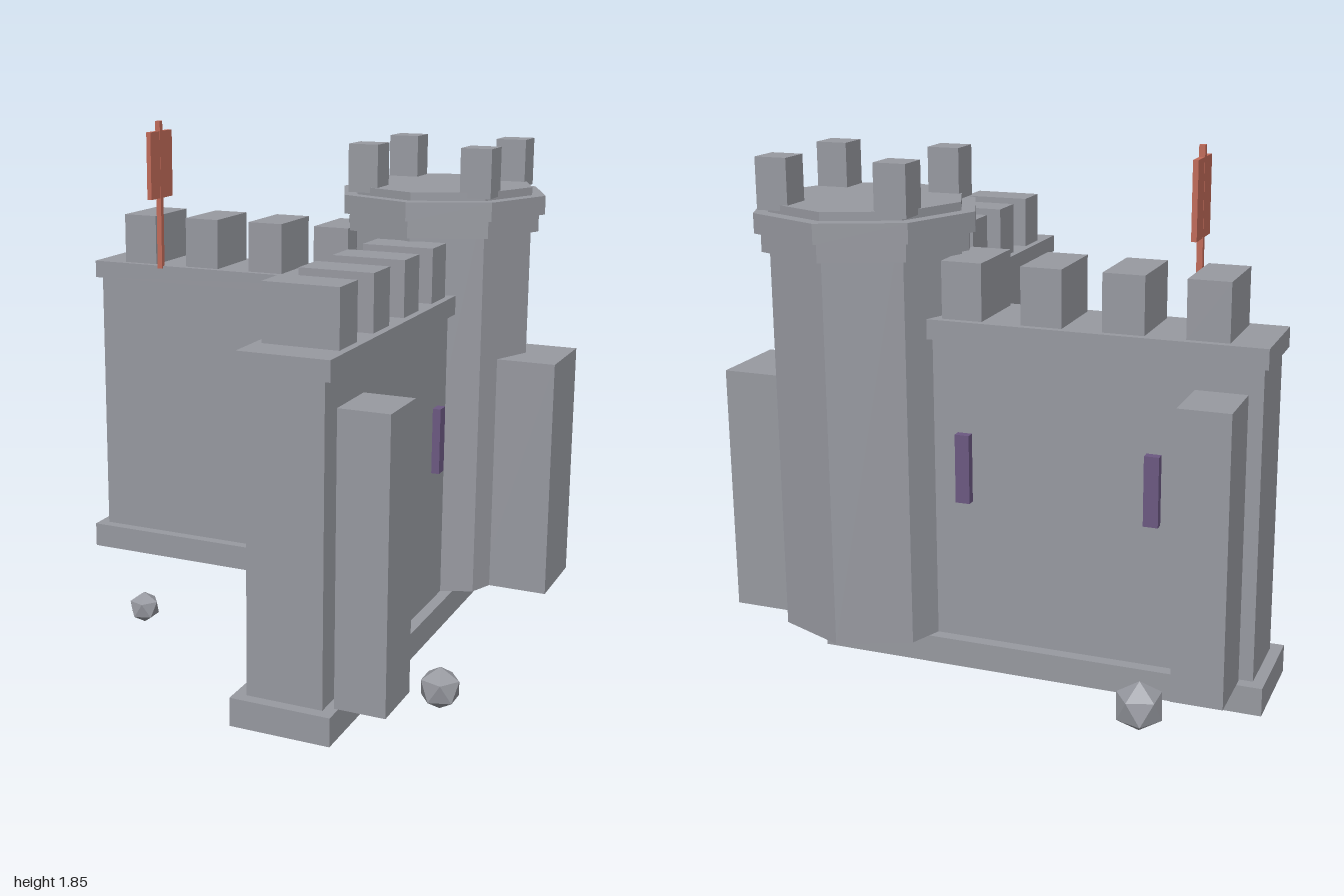
import * as THREE from 'three';

export function createModel() {
  const model = new THREE.Group();
  model.name = 'castleCorner';

  const makeMaterial = (name, color) => {
    const m = new THREE.MeshStandardMaterial({ color, flatShading: true });
    m.name = name;
    return m;
  };
  const stone = makeMaterial('stone grey', 0x9799a0);
  const purple = makeMaterial('window purple', 0x6b5881);
  const red = makeMaterial('flag red', 0xc06a58);

  const add = (name, geometry, material, parent = model) => {
    const mesh = new THREE.Mesh(geometry, material);
    mesh.name = name;
    parent.add(mesh);
    return mesh;
  };
  // Box given by its extents along each axis
  const box = (name, [x0, x1], [y0, y1], [z0, z1], material = stone, parent = model) => {
    const mesh = add(name, new THREE.BoxGeometry(x1 - x0, y1 - y0, z1 - z0), material, parent);
    mesh.position.set((x0 + x1) / 2, (y0 + y1) / 2, (z0 + z1) / 2);
    return mesh;
  };
  const around = (c, size) => [c - size / 2, c + size / 2];

  const TX = 0.49, TZ = -0.503; // tower axis, where the two walls meet

  // Two walls: the back one runs along x, the side one along z
  const buildWall = (name, alongX) => {
    const wall = new THREE.Group();
    wall.name = name;
    model.add(wall);
    // t is distance out from the corner, w the extent across the wall
    const piece = (part, [t0, t1], y, [w0, w1], material) => alongX
      ? box(part, [TX - t1, TX - t0], y, [TZ - w1, TZ - w0], material, wall)
      : box(part, [TX + w0, TX + w1], y, [TZ + t0, TZ + t1], material, wall);
    piece('footing', [-0.132, 1.49], [0, 0.1], around(0, 0.356));
    piece('wallBody', [-0.1, 1.449], [0.1, 1.19], around(0, 0.27));
    piece('wallCap', [-0.115, 1.467], [1.19, 1.26], around(0, 0.32));
    for (let i = 0; i < 4; i++) {
      piece('merlon', around(0.407 + i * 0.285, 0.145), [1.26, 1.46], around(0, 0.268));
    }
    for (const t of [0.413, 1.09]) {
      piece('arrowSlit', around(t, 0.052), [0.615, 0.862], [0.12, 0.165], purple);
    }
  };
  buildWall('backWall', true);
  buildWall('sideWall', false);

  // Buttresses on the outer faces
  box('backButtress', [-0.912, -0.735], [0.1, 1.1], [-0.87, -0.65]);
  box('sideButtress', [0.653, 0.83], [0.1, 1.1], [0.697, 0.916]);
  box('towerButtress', [0.74, 1.0], [0.1, 1.005], around(TZ, 0.318));

  // Octagonal tower with stepped rings
  const tower = new THREE.Group();
  tower.name = 'tower';
  model.add(tower);
  const octagon = (name, r, y0, y1) => {
    const mesh = add(name, new THREE.CylinderGeometry(r, r, y1 - y0, 8), stone, tower);
    mesh.position.set(TX, (y0 + y1) / 2, TZ);
  };
  octagon('towerShaft', 0.354, 0.1, 1.64);
  octagon('lowerRing', 0.383, 1.475, 1.54);
  octagon('upperRing', 0.406, 1.54, 1.61);
  for (const sx of [-1, 1]) {
    for (const sz of [-1, 1]) {
      box('towerMerlon', around(TX + sx * 0.219, 0.117), [1.62, 1.8],
        around(TZ + sz * 0.217, 0.117), stone, tower);
    }
  }

  // Flag
  box('flagPole', around(-0.664, 0.021), [1.25, 1.85], around(-0.345, 0.021), red);
  box('flagCloth', around(-0.664, 0.019), [1.54, 1.81], around(-0.347, 0.176), red);

  // Loose rocks, each standing on a corner
  const tip = (1 + Math.sqrt(5)) / 2;
  for (const [x, y, z, r] of [[-0.644, 0.09, -0.913, 0.088], [-0.37, 0.068, 0.351, 0.06], [0.896, 0.08, 0.579, 0.075]]) {
    const geometry = new THREE.IcosahedronGeometry(r, 0);
    geometry.rotateX(-Math.atan(tip)).rotateY(Math.PI / 2);
    add('rock', geometry, stone).position.set(x, y, z);
  }

  return model;
}
